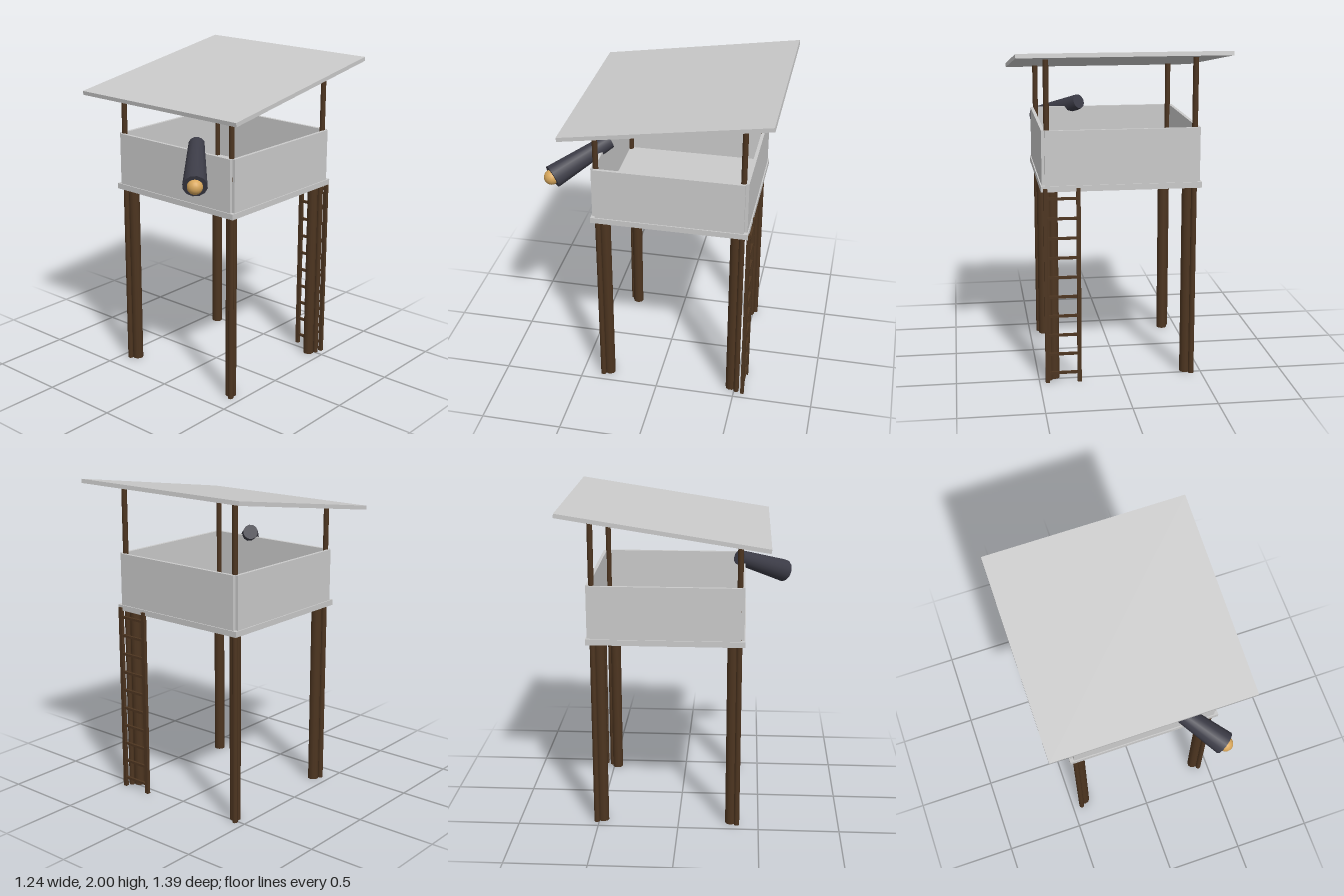
import * as THREE from 'three';

const material = (name, color) => {
  const m = new THREE.MeshStandardMaterial({ color });
  m.name = name;
  return m;
};

export function createModel() {
  const panel = material('pale panel', 0xcacaca);
  const wood = material('dark wood', 0x4d3520);
  const metal = material('dark metal', 0x3c3c47);
  const glow = material('warm lamp', 0xd8a75c);

  const model = new THREE.Group();
  model.name = 'watchtower';

  const add = (parent, name, geometry, mat, x, y, z) => {
    const mesh = new THREE.Mesh(geometry, mat);
    mesh.name = name;
    mesh.position.set(x, y, z);
    parent.add(mesh);
    return mesh;
  };
  const group = (name) => {
    const g = new THREE.Group();
    g.name = name;
    model.add(g);
    return g;
  };
  // Upright pole between two heights
  const pole = (parent, name, r, x, z, y0, y1) =>
    add(parent, name, new THREE.CylinderGeometry(r, r, y1 - y0, 10), wood, x, (y0 + y1) / 2, z);

  const midZ = -0.0765;

  // Cabin: floor slab and four walls that leave notched corners
  const cabin = group('cabin');
  const floorBase = 1.18, floorTop = 1.215, wallTop = 1.54, wallT = 0.02;
  add(cabin, 'floor', new THREE.BoxGeometry(0.954, floorTop - floorBase, 0.954), panel,
    0, (floorBase + floorTop) / 2, midZ);
  const wallH = wallTop - floorTop, wallY = (wallTop + floorTop) / 2;
  for (const s of [-1, 1]) {
    add(cabin, s > 0 ? 'leftWall' : 'rightWall',
      new THREE.BoxGeometry(wallT, wallH, 0.902), panel, s * 0.46, wallY, midZ);
    add(cabin, s > 0 ? 'frontWall' : 'backWall',
      new THREE.BoxGeometry(0.902, wallH, wallT), panel, 0, wallY, midZ + s * 0.46);
  }

  // Thick legs under the floor, each beside a slim post that carries the roof
  const supports = group('supports');
  for (const s of [-1, 1]) {
    pole(supports, 'frontLeg', 0.034, s * 0.407, 0.327, 0, floorBase);
    pole(supports, 'backLeg', 0.034, s * 0.407, -0.475, 0, floorBase);
    pole(supports, 'frontRoofPost', 0.017, s * 0.438, 0.365, 0, 1.82);
    pole(supports, 'backRoofPost', 0.017, s * 0.438, -0.514, 0, 1.955);
  }

  // Sloping roof, high at the back
  const roof = add(model, 'roof', new THREE.BoxGeometry(1.235, 0.025, 1.246), panel, 0, 1.8925, -0.0775);
  roof.rotation.x = 0.153;

  // Ladder behind the back left legs
  const ladder = group('ladder');
  const ladderZ = -0.555;
  for (const x of [0.258, 0.452]) {
    add(ladder, 'ladderRail', new THREE.BoxGeometry(0.024, 1.2, 0.022), wood, x, 0.6, ladderZ);
  }
  for (let i = 0; i < 10; i++) {
    add(ladder, 'ladderRung', new THREE.BoxGeometry(0.18, 0.015, 0.015), wood,
      0.355, 0.06 + i * 0.12, ladderZ);
  }

  // Searchlight: tapered housing pointing forward and down, with a round bulb
  const light = group('searchlight');
  const rear = new THREE.Vector3(0.155, 1.575, 0.352);
  const front = new THREE.Vector3(0.405, 1.43, 0.643);
  const axis = front.clone().sub(rear);
  const mid = rear.clone().add(front).multiplyScalar(0.5);
  const housing = add(light, 'lightHousing',
    new THREE.CylinderGeometry(0.073, 0.048, axis.length(), 12), metal, mid.x, mid.y, mid.z);
  housing.quaternion.setFromUnitVectors(new THREE.Vector3(0, 1, 0), axis.normalize());
  add(light, 'lightBulb', new THREE.SphereGeometry(0.046, 20, 14), glow, 0.409, 1.429, 0.648);

  return model;
}
